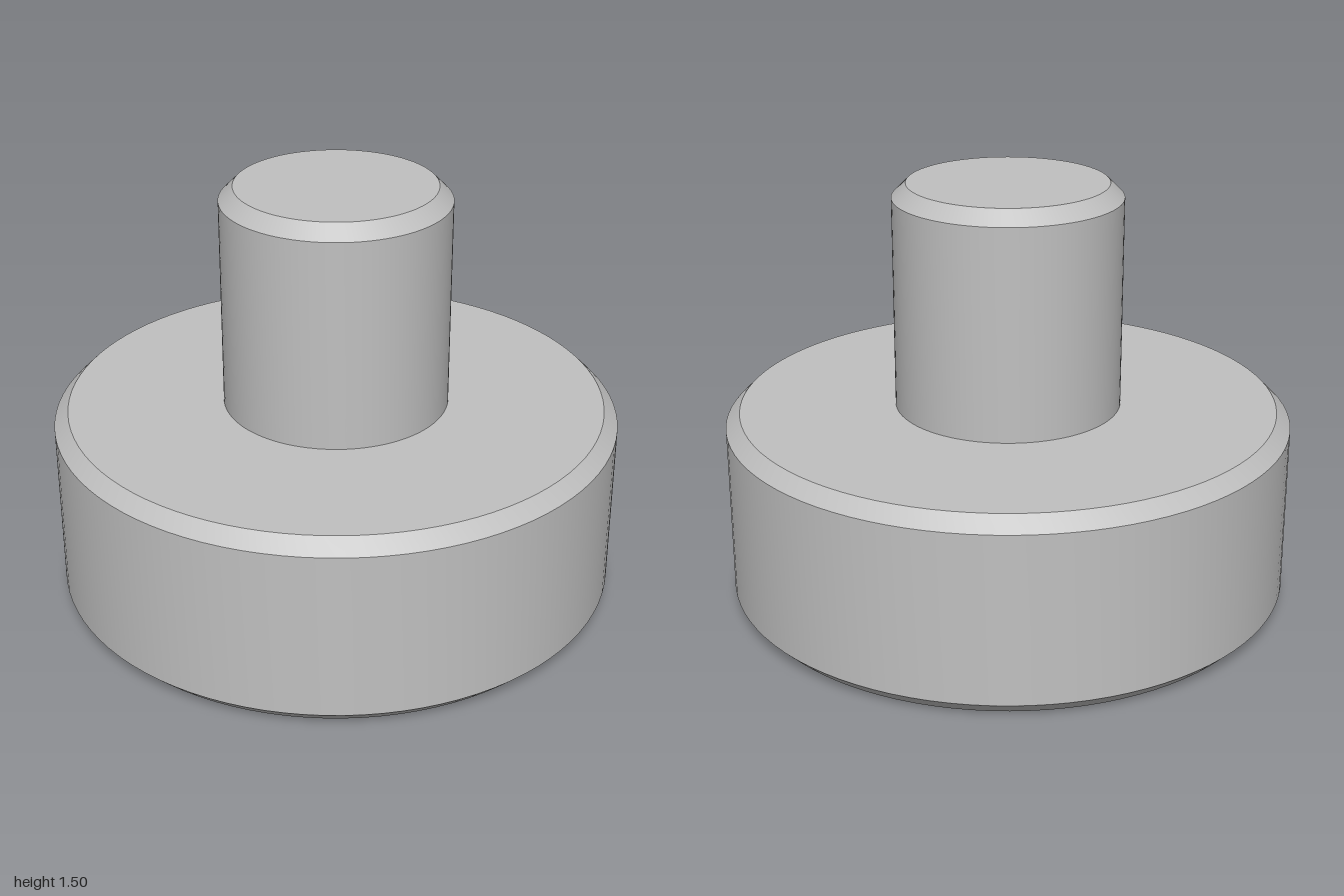
import * as THREE from 'three';
import { toCreasedNormals } from 'three/addons/utils/BufferGeometryUtils.js';

const SEGMENTS = 96;
const CHAMFER = 0.05;

// Turned part: revolve a profile of [radius, height] points, keeping chamfer edges sharp
function turned(name, profile, material) {
  const points = profile.map(([r, y]) => new THREE.Vector2(r, y));
  const geometry = toCreasedNormals(new THREE.LatheGeometry(points, SEGMENTS), Math.PI / 6);
  const mesh = new THREE.Mesh(geometry, material);
  mesh.name = name;
  return mesh;
}

export function createModel() {
  const metal = new THREE.MeshStandardMaterial({ color: 0xc0c0c0 });
  metal.name = 'light grey metal';

  const baseRadius = 1, baseHeight = 0.7;
  const stemRadius = 0.4, top = 1.5;

  const model = new THREE.Group();
  model.name = 'steppedPin';

  // Wide disc, chamfered on both rims, open where the stem rises
  model.add(turned('base', [
    [0, 0],
    [baseRadius - CHAMFER, 0],
    [baseRadius, CHAMFER],
    [baseRadius, baseHeight - CHAMFER],
    [baseRadius - CHAMFER, baseHeight],
    [stemRadius, baseHeight],
  ], metal));

  // Narrow stem, chamfered at the top
  model.add(turned('stem', [
    [stemRadius, baseHeight],
    [stemRadius, top - CHAMFER],
    [stemRadius - CHAMFER, top],
    [0, top],
  ], metal));

  return model;
}
